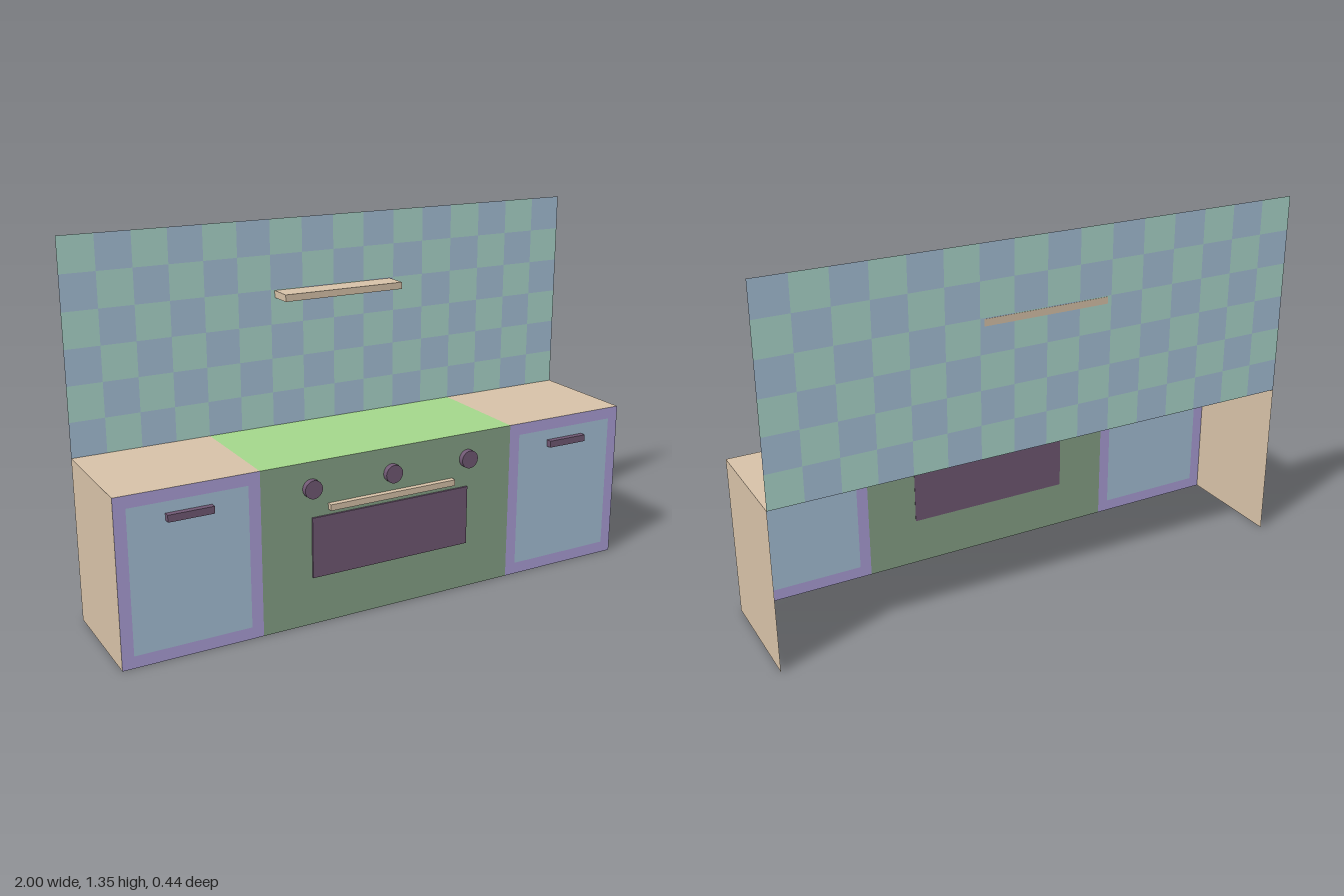
import * as THREE from 'three';
import { mergeGeometries } from 'three/addons/utils/BufferGeometryUtils.js';

const H = 0.595, FRONT = 0.2, BACK = -0.222, TILE = 0.125;

function flat(name, color, side = THREE.FrontSide) {
  const m = new THREE.MeshStandardMaterial({ color, side });
  m.name = name;
  return m;
}

export function createModel() {
  const D = THREE.DoubleSide;
  const wood = flat('wood', 0xd7c2a8, D);
  const lilac = flat('lilac', 0xab9fd7, D);
  const blue = flat('blue', 0xa6c0d7, D);
  const teal = flat('teal', 0xabd7cc, D);
  const plum = flat('plum', 0x705873);
  const ovenGreen = flat('ovenGreen', 0x86a287, D);
  const hobGreen = flat('hobGreen', 0xa4d78b, D);

  const model = new THREE.Group();
  model.name = 'kitchenCounter';

  const add = (name, geometry, material) => {
    const mesh = new THREE.Mesh(geometry, material);
    mesh.name = name;
    model.add(mesh);
    return mesh;
  };
  // Upright sheet facing the front
  const sheet = (x0, x1, y0, y1, z) =>
    new THREE.PlaneGeometry(x1 - x0, y1 - y0).translate((x0 + x1) / 2, (y0 + y1) / 2, z);
  // Horizontal sheet on top of the units
  const top = (x0, x1) =>
    new THREE.PlaneGeometry(x1 - x0, FRONT - BACK).rotateX(-Math.PI / 2)
      .translate((x0 + x1) / 2, H, (FRONT + BACK) / 2);
  const block = (x0, x1, y0, y1, z0, z1) =>
    new THREE.BoxGeometry(x1 - x0, y1 - y0, z1 - z0)
      .translate((x0 + x1) / 2, (y0 + y1) / 2, (z0 + z1) / 2);

  // Cupboards on both sides: end wall, worktop, framed door, handle
  for (const [label, s] of [['left', 1], ['right', -1]]) {
    const cx = 0.75 * s;
    add(label + 'EndWall', new THREE.PlaneGeometry(FRONT - BACK, H)
      .rotateY(s * Math.PI / 2).translate(s, H / 2, (FRONT + BACK) / 2), wood);
    add(label + 'Worktop', top(cx - 0.25, cx + 0.25), wood);

    const frame = new THREE.Shape([[-0.25, 0], [0.25, 0], [0.25, H], [-0.25, H]]
      .map(p => new THREE.Vector2(...p)));
    frame.holes.push(new THREE.Path([[-0.208, 0.043], [-0.208, 0.552], [0.208, 0.552], [0.208, 0.043]]
      .map(p => new THREE.Vector2(...p))));
    add(label + 'DoorFrame', new THREE.ShapeGeometry(frame).translate(cx, 0, FRONT), lilac);
    add(label + 'DoorPanel', sheet(cx - 0.208, cx + 0.208, 0.043, 0.552, FRONT), blue);
    add(label + 'DoorHandle', block(cx - 0.08, cx + 0.08, 0.488, 0.513, FRONT + 0.0005, 0.222), plum);
  }

  // Oven and hob
  add('ovenFront', sheet(-0.5, 0.5, 0, H, FRONT), ovenGreen);
  add('hob', top(-0.5, 0.5), hobGreen);
  add('ovenWindow', block(-0.313, 0.313, 0.175, 0.395, FRONT - 0.001, 0.207), plum);
  add('ovenHandle', block(-0.25, 0.25, 0.415, 0.437, FRONT + 0.0005, 0.222), wood);
  for (const x of [-0.313, 0, 0.313]) {
    add('knob', new THREE.CylinderGeometry(0.033, 0.033, 0.022, 24)
      .rotateX(Math.PI / 2).translate(x, 0.502, FRONT + 0.01), plum);
  }

  // Chequered tiles on the wall
  const tiles = [[], []];
  for (let row = 0; row < 6; row++) {
    for (let col = 0; col < 16; col++) {
      const x = -1 + col * TILE, y = H + row * TILE;
      tiles[(row + col) % 2].push(sheet(x, x + TILE, y, y + TILE, BACK));
    }
  }
  add('blueTiles', mergeGeometries(tiles[0]), blue);
  add('tealTiles', mergeGeometries(tiles[1]), teal);

  // Wall shelf, just showing through the back
  add('shelf', block(-0.235, 0.235, 1.067, 1.092, BACK - 0.001, -0.133), wood);

  return model;
}
